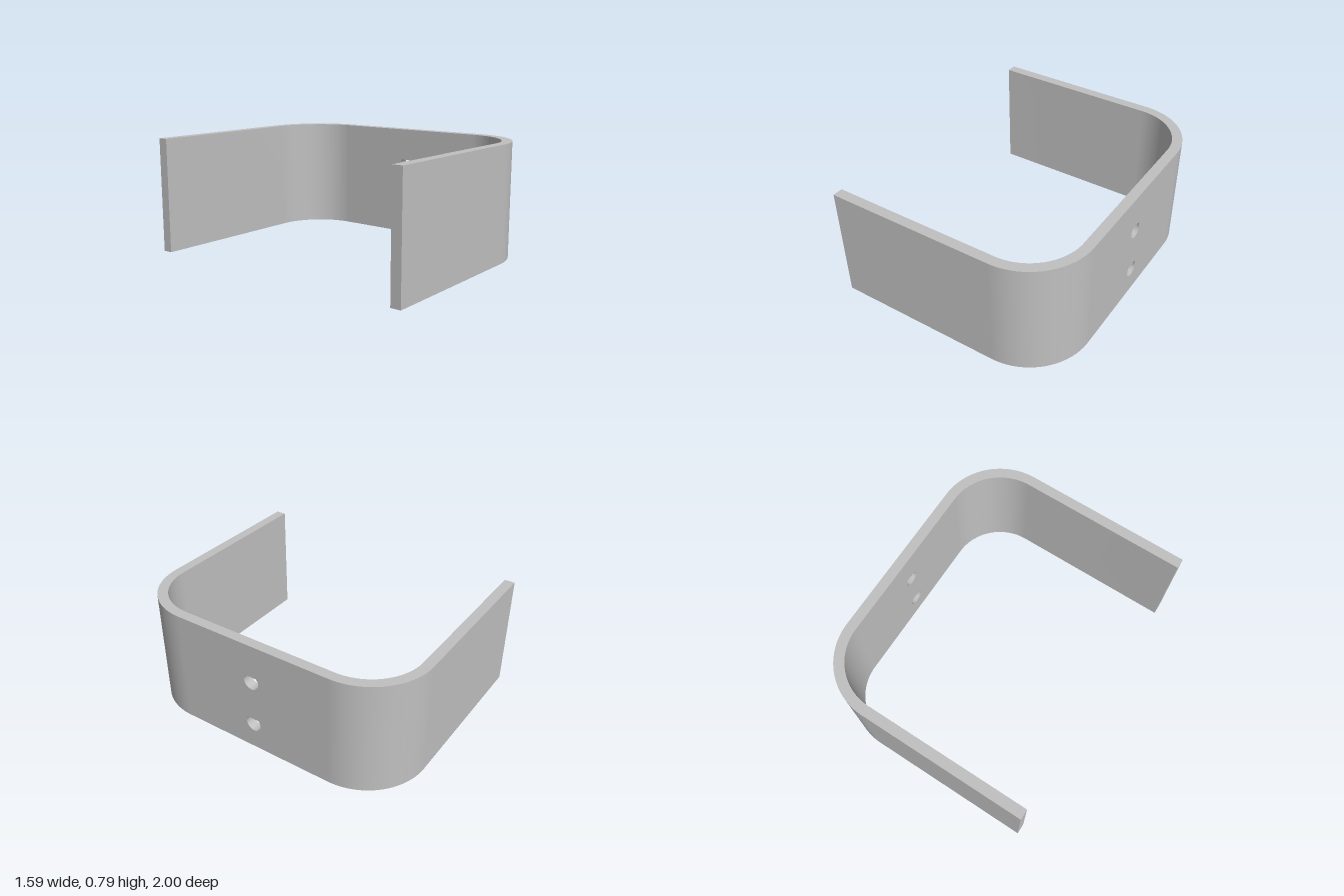
import * as THREE from 'three';
import { toCreasedNormals } from 'three/addons/utils/BufferGeometryUtils.js';

const X = 0.795, Z = 1, HEIGHT = 0.79, THICK = 0.07, RADIUS = 0.435;
const BEND_X = X - RADIUS, BEND_Z = Z - RADIUS;

const extrude = (shape, depth) =>
  new THREE.ExtrudeGeometry(shape, { depth, bevelEnabled: false, curveSegments: 32 });

// Straight arm plus its quarter bend, drawn from above; side is +1 or -1
function armGeometry(side) {
  const s = new THREE.Shape();
  const quarter = side * Math.PI / 2;
  s.moveTo(-X, side * Z);
  s.lineTo(BEND_X, side * Z);
  s.absarc(BEND_X, side * BEND_Z, RADIUS, quarter, 0, side > 0);
  s.lineTo(X - THICK, side * BEND_Z);
  s.absarc(BEND_X, side * BEND_Z, RADIUS - THICK, 0, quarter, side < 0);
  s.lineTo(-X, side * (Z - THICK));
  s.closePath();
  const g = extrude(s, HEIGHT).rotateX(-Math.PI / 2);
  return toCreasedNormals(g, Math.PI / 6);
}

// Teardrop hole: round below, 45 degree roof above
function teardrop(y, r) {
  const p = new THREE.Path();
  p.moveTo(0, y + r * Math.SQRT2);
  p.absarc(0, y, r, Math.PI * 0.75, Math.PI * 2.25, false);
  p.closePath();
  return p;
}

// Flat web between the bends, pierced by two holes
function webGeometry() {
  const s = new THREE.Shape();
  s.moveTo(-BEND_Z, 0);
  s.lineTo(BEND_Z, 0);
  s.lineTo(BEND_Z, HEIGHT);
  s.lineTo(-BEND_Z, HEIGHT);
  s.closePath();
  for (const y of [0.19, 0.52]) s.holes.push(teardrop(y, 0.055));
  const g = extrude(s, THICK).rotateY(Math.PI / 2).translate(X - THICK, 0, 0);
  return toCreasedNormals(g, Math.PI / 6);
}

export function createModel() {
  const group = new THREE.Group();
  group.name = 'bracket';
  const grey = new THREE.MeshStandardMaterial({ color: 0xc0c0c0 });
  grey.name = 'grey';
  const add = (name, geometry) => {
    const mesh = new THREE.Mesh(geometry, grey);
    mesh.name = name;
    group.add(mesh);
  };
  add('backArm', armGeometry(1));
  add('frontArm', armGeometry(-1));
  add('web', webGeometry());
  return group;
}
